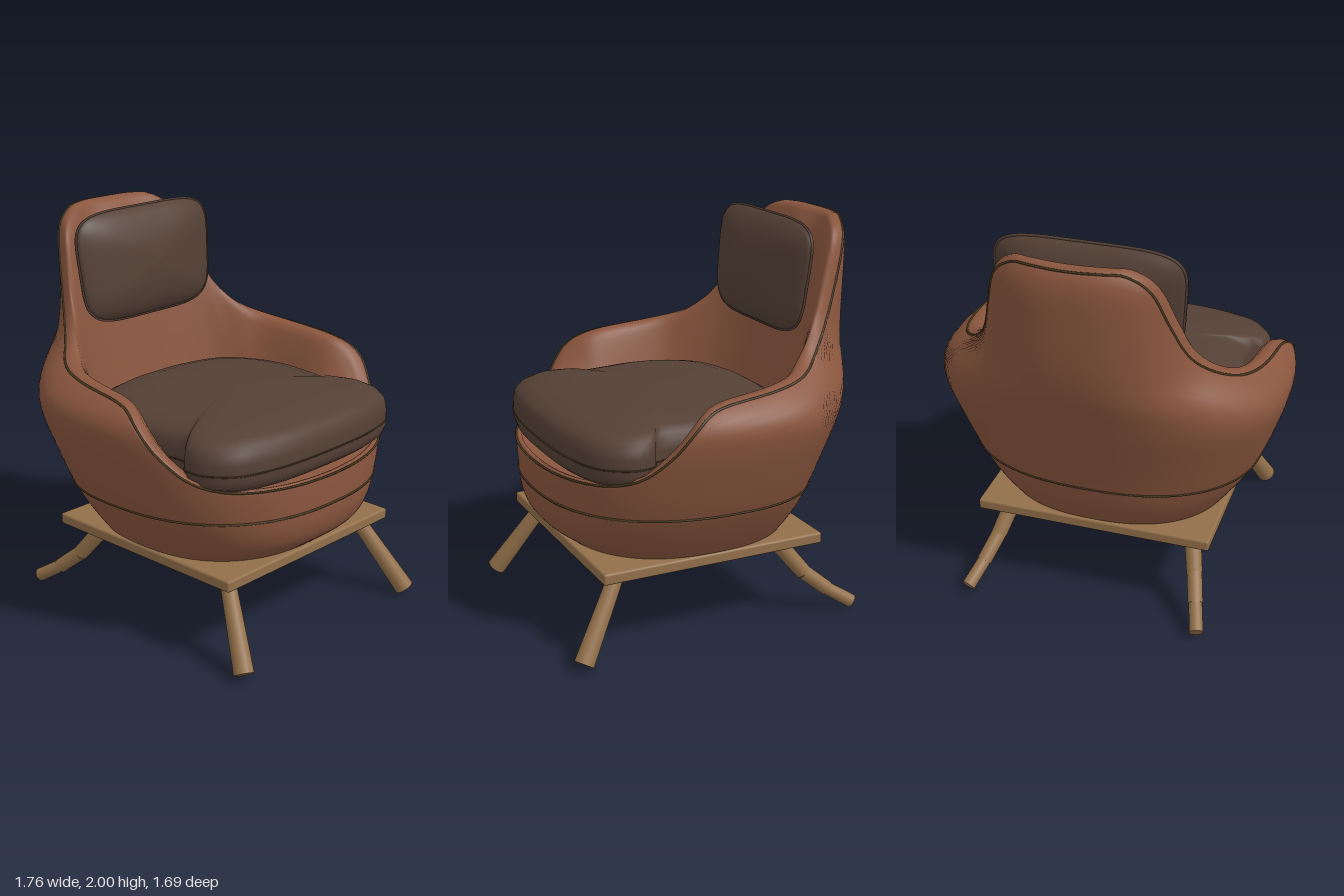
import * as THREE from 'three';
import { RoundedBoxGeometry } from 'three/addons/geometries/RoundedBoxGeometry.js';

const V = (x, y, z) => new THREE.Vector3(x, y, z);
const material = (name, color, side = THREE.FrontSide) => {
  const m = new THREE.MeshStandardMaterial({ color, side });
  m.name = name;
  return m;
};

// Smooth lookup in a table of [key, value, value...]
function lookup(table, key, col = 1) {
  const n = table.length - 1;
  let i = 0;
  while (i < n - 1 && key > table[i + 1][0]) i++;
  const slope = k => {
    const a = table[Math.max(k - 1, 0)], b = table[Math.min(k + 1, n)];
    return (b[col] - a[col]) / (b[0] - a[0]);
  };
  const p = table[i], q = table[i + 1], d = q[0] - p[0];
  const t = THREE.MathUtils.clamp((key - p[0]) / d, 0, 1), t2 = t * t, t3 = t2 * t;
  return p[col] * (2 * t3 - 3 * t2 + 1) + slope(i) * d * (t3 - 2 * t2 + t)
    + q[col] * (3 * t2 - 2 * t3) + slope(i + 1) * d * (t3 - t2);
}

// Skin over closed rings with equal point counts
function loft(rings) {
  const n = rings[0].length, index = [];
  for (let i = 0; i < rings.length - 1; i++) {
    for (let j = 0; j < n; j++) {
      const a = i * n + j, b = i * n + (j + 1) % n, c = a + n, d = b + n;
      index.push(a, b, d, a, d, c);
    }
  }
  const g = new THREE.BufferGeometry().setFromPoints(rings.flat());
  g.setIndex(index);
  g.computeVertexNormals();
  return g;
}

const power = (v, p) => Math.sign(v) * Math.abs(v) ** p;

// Outer shell levels: y, half width, front z, back z, centre z
const LEVELS = [
  [0.45, 0.595, 0.65, -0.49, 0.08],
  [0.53, 0.65, 0.75, -0.54, 0.07],
  [0.61, 0.7, 0.79, -0.575, 0.05],
  [0.71, 0.755, 0.8, -0.6, 0.03],
  [0.88, 0.82, 0.8, -0.65, 0],
  [1.1, 0.88, 0.78, -0.72, -0.05],
  [1.2, 0.86, 0.76, -0.75, -0.06],
  [1.28, 0.775, 0.72, -0.78, -0.1],
  [1.38, 0.63, 0.6, -0.805, -0.2],
  [1.5, 0.545, 0.5, -0.825, -0.3],
  [1.7, 0.49, 0.4, -0.84, -0.4],
  [1.9, 0.46, 0.3, -0.845, -0.45],
  [2.0, 0.42, 0.3, -0.815, -0.45],
];
// Rim height by angle from the front
const RIM = [[0, 0.86], [35, 0.875], [47, 0.9], [55, 0.95], [62, 1.05], [67, 1.15], [74, 1.24], [90, 1.285],
  [104, 1.33], [110, 1.4], [115, 1.52], [120, 1.68], [130, 1.88], [145, 1.97], [160, 1.985], [180, 1.985]];

function oval(angle, y, w, f, b, c) {
  const s = power(Math.sin(angle), 0.83), k = power(Math.cos(angle), 0.83);
  return V(w * s, y, c + k * (k > 0 ? f - c : c - b));
}
const shellPoint = (angle, y) => oval(angle, y, ...[1, 2, 3, 4].map(col => lookup(LEVELS, y, col)));

function buildShell() {
  const cols = 160, outer = 28, inner = 14;
  const rings = Array.from({ length: outer + inner + 5 }, () => []);
  const rim = [], seam = [];
  for (let j = 0; j < cols; j++) {
    const a = (j / cols) * Math.PI * 2;
    const deg = THREE.MathUtils.radToDeg(Math.min(a, Math.PI * 2 - a));
    const h = lookup(RIM, deg);
    let r = 0;
    for (let i = 0; i <= outer; i++) rings[r++].push(shellPoint(a, 0.45 + (h - 0.45) * i / outer));
    const edge = shellPoint(a, h);
    const foot = oval(a, 0.84, 0.57, 0.62, -0.47, -0.05);
    rim.push(edge);
    seam.push(shellPoint(a, 0.71));
    // Rolled rim
    const inward = V(foot.x - edge.x, 0, foot.z - edge.z).normalize();
    const thick = deg < 55 ? 0.04 : 0.085;
    rings[r++].push(edge.clone().addScaledVector(inward, thick * 0.35).add(V(0, 0.012, 0)));
    rings[r++].push(edge.clone().addScaledVector(inward, thick * 0.75).add(V(0, 0.006, 0)));
    const lip = edge.clone().addScaledVector(inward, thick).add(V(0, -0.015, 0));
    // Inner wall with a soft fold at the top of the back
    for (let i = 0; i <= inner; i++) {
      const s = i / inner, k = s ** 0.85;
      const p = V(lip.x + (foot.x - lip.x) * k, lip.y + (foot.y - lip.y) * s, lip.z + (foot.z - lip.z) * k);
      if (deg > 130) p.z += 0.06 * Math.exp(-((p.x / 0.13) ** 2)) * Math.exp(-(((s - 0.12) / 0.08) ** 2));
      rings[r++].push(p);
    }
    rings[r++].push(V(0, 0.84, 0));
  }
  return { geometry: loft(rings), rim, seam };
}

const piping = (points, radius) => new THREE.TubeGeometry(
  new THREE.CatmullRomCurve3(points, true), 240, radius, 5, true);

// Seat cushion outline: right half mirrored, wider ahead of the arms
function cushionOutline() {
  const half = [[0, 0.77], [0.35, 0.75], [0.57, 0.68], [0.665, 0.55], [0.655, 0.44], [0.59, 0.39],
    [0.6, 0.2], [0.62, 0], [0.58, -0.2], [0.45, -0.38], [0.2, -0.46], [0, -0.47]];
  const left = half.slice(1, -1).reverse().map(([x, z]) => [-x, z]);
  const curve = new THREE.CatmullRomCurve3([...half, ...left].map(([x, z]) => V(x, 0, z)), true);
  return curve.getSpacedPoints(120).slice(0, 120);
}

// Ring scale and height for the seat cushion
const SEAT = [[0, 0.87], [0.86, 0.87], [0.94, 0.878], [0.98, 0.9], [1, 0.94], [1, 1.02], [0.985, 1.065],
  [0.95, 1.095], [0.88, 1.12], [0.75, 1.143], [0.5, 1.162], [0, 1.17]];

// Ring scale and depth for the head pillow, back to front
const PILLOW = [[0, -0.1], [0.35, -0.095], [0.65, -0.075], [0.85, -0.045], [0.96, -0.018], [1, 0],
  [0.96, 0.018], [0.85, 0.045], [0.65, 0.075], [0.35, 0.095], [0, 0.1]];

function pillowRing(scale, z) {
  return Array.from({ length: 96 }, (_, j) => {
    const a = (j / 96) * Math.PI * 2;
    const y = power(Math.sin(a), 0.42);
    return V(power(Math.cos(a), 0.42) * (0.455 + 0.02 * y) * scale, 0.28 * y * scale, z);
  });
}

// Round bar between two points
function bar(from, to, r0, r1, mat, name) {
  const dir = to.clone().sub(from);
  const mesh = new THREE.Mesh(new THREE.CylinderGeometry(r1, r0, dir.length(), 20), mat);
  mesh.position.copy(from).addScaledVector(dir, 0.5);
  mesh.quaternion.setFromUnitVectors(V(0, 1, 0), dir.normalize());
  mesh.name = name;
  return mesh;
}

export function createModel() {
  const model = new THREE.Group();
  model.name = 'armchair';
  const leather = material('brown leather', 0x8a563e, THREE.DoubleSide);
  const fabric = material('dark cushion', 0x544035);
  const wood = material('wood', 0x92704a);
  const thread = material('seam thread', 0x4a3a20);
  const add = (geometry, mat, name, parent = model) => {
    const mesh = new THREE.Mesh(geometry, mat);
    mesh.name = name;
    parent.add(mesh);
    return mesh;
  };

  // Upholstered shell
  const shell = buildShell();
  add(shell.geometry, leather, 'shell');
  add(piping(shell.rim, 0.006), thread, 'rimPiping');
  add(piping(shell.seam, 0.006), thread, 'lowerSeam');

  // Seat cushion
  const outline = cushionOutline();
  const seatRing = (s, y) => outline.map(p => V(p.x * s, y, 0.15 + (p.z - 0.15) * s));
  add(loft(SEAT.map(([s, y]) => seatRing(s, y))), fabric, 'seatCushion');
  add(piping(seatRing(1, 0.97), 0.004), thread, 'seatSeam');

  // Head pillow
  const pillow = new THREE.Group();
  pillow.name = 'headPillow';
  pillow.position.set(0, 1.71, -0.477);
  pillow.rotation.x = -0.11;
  add(loft(PILLOW.map(([s, z]) => pillowRing(s, z))), fabric, 'pillowBody', pillow);
  add(piping(pillowRing(1, 0), 0.007), fabric, 'pillowPiping', pillow);
  model.add(pillow);

  // Base board
  add(new RoundedBoxGeometry(1.22, 0.058, 1.19, 3, 0.012), wood, 'baseBoard').position.set(0, 0.428, 0.085);

  // Legs: straight in front, jointed behind
  for (const side of [-1, 1]) {
    const name = side > 0 ? 'left' : 'right';
    model.add(bar(V(side * 0.49, 0.42, 0.555), V(side * 0.63, 0.03, 0.8), 0.038, 0.05, wood, name + 'FrontLeg'));
    const joints = [V(side * 0.47, 0.42, -0.3), V(side * 0.53, 0.22, -0.455),
      V(side * 0.57, 0.12, -0.575), V(side * 0.61, 0.04, -0.7)];
    for (let i = 0; i < 3; i++) {
      model.add(bar(joints[i], joints[i + 1], 0.044 - i * 0.005, 0.041 - i * 0.003, wood, name + 'BackLeg' + (i + 1)));
    }
  }
  return model;
}
